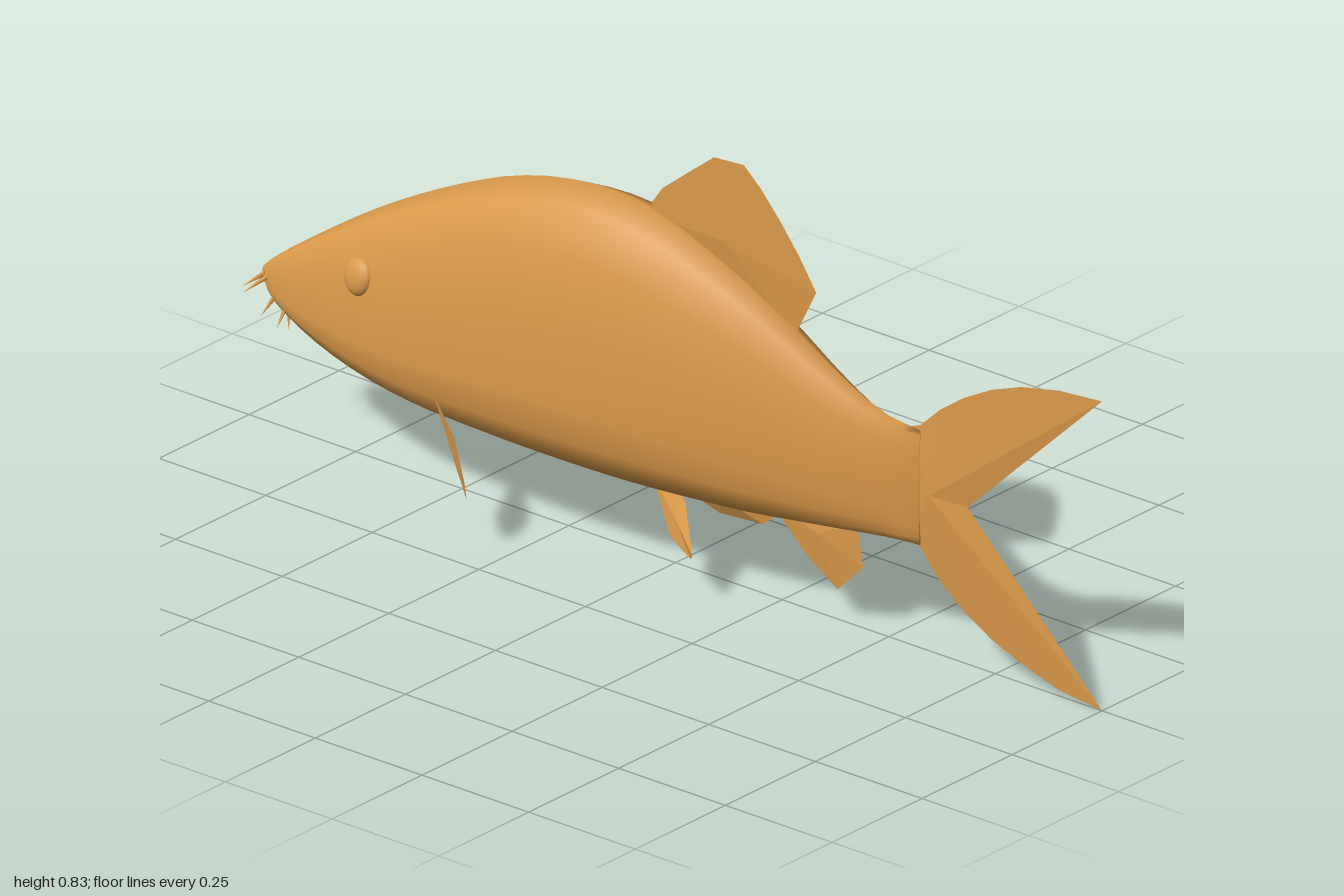
import * as THREE from 'three';

const skin = new THREE.MeshStandardMaterial({ color: 0xd9994a });
skin.name = 'golden skin';

function mesh(name, geometry) {
  const m = new THREE.Mesh(geometry, skin);
  m.name = name;
  return m;
}

// Body sections from tail to nose: z, belly y, back y, half width
const SECTIONS = [
  [0.575, 0.203, 0.43, 0.006], [0.5, 0.2, 0.437, 0.022], [0.4, 0.19, 0.475, 0.045],
  [0.3, 0.18, 0.53, 0.066], [0.2, 0.17, 0.587, 0.086], [0.1, 0.165, 0.633, 0.103],
  [0, 0.16, 0.67, 0.116], [-0.1, 0.157, 0.69, 0.124], [-0.2, 0.156, 0.69, 0.127],
  [-0.3, 0.156, 0.675, 0.127], [-0.4, 0.157, 0.645, 0.122], [-0.5, 0.16, 0.602, 0.116],
  [-0.6, 0.17, 0.552, 0.107], [-0.7, 0.185, 0.495, 0.09], [-0.8, 0.207, 0.43, 0.066],
  [-0.9, 0.238, 0.36, 0.034], [-0.945, 0.262, 0.325, 0.016], [-0.965, 0.29, 0.306, 0.004],
];
// Half of the cross-section: width and height as fractions
const HALF = [[0, 1], [0.43, 0.95], [0.75, 0.795], [0.945, 0.56], [1, 0.27],
  [0.945, 0.147], [0.79, 0.062], [0.47, 0.011], [0, 0]];

function bodyGeometry() {
  const ring = [...HALF, ...HALF.slice(1, -1).reverse().map(([x, y]) => [-x, y])];
  const n = ring.length;
  const lens = new THREE.CatmullRomCurve3(SECTIONS.map(([z, b, t]) => new THREE.Vector3(b, t, z)));
  const wide = new THREE.CatmullRomCurve3(SECTIONS.map(([z, , , w]) => new THREE.Vector3(w, 0, z)));
  const steps = (SECTIONS.length - 1) * 2;
  const pos = [], index = [];
  for (let i = 0; i <= steps; i++) {
    const s = lens.getPoint(i / steps), w = wide.getPoint(i / steps).x;
    for (const [x, y] of ring) pos.push(x * w, s.x + (s.y - s.x) * y, s.z);
  }
  for (let i = 0; i < steps; i++) {
    for (let j = 0; j < n; j++) {
      const a = i * n + j, b = i * n + (j + 1) % n;
      index.push(a, b, a + n, b, b + n, a + n);
    }
  }
  // Close the tail and nose ends
  for (let j = 1; j < n - 1; j++) {
    index.push(0, j + 1, j);
    const e = steps * n;
    index.push(e, e + j, e + j + 1);
  }
  const g = new THREE.BufferGeometry();
  g.setAttribute('position', new THREE.Float32BufferAttribute(pos, 3));
  g.setIndex(index);
  g.computeVertexNormals();
  return g;
}

// Thin lens-shaped fin: two fans from a thickened centre to a sharp outline
function finGeometry(outline, centre, thickness) {
  const p = outline.map((v) => new THREE.Vector3(...v));
  const c = new THREE.Vector3(...centre);
  const normal = new THREE.Vector3();
  p.forEach((v, i) => {
    const next = p[(i + 1) % p.length];
    normal.add(v.clone().sub(c).cross(next.clone().sub(c)));
  });
  normal.normalize().multiplyScalar(thickness / 2);
  const up = c.clone().add(normal), down = c.clone().sub(normal);
  const pts = [];
  p.forEach((v, i) => {
    const next = p[(i + 1) % p.length];
    pts.push(up, v, next, down, next, v);
  });
  const g = new THREE.BufferGeometry().setFromPoints(pts);
  g.computeVertexNormals();
  return g;
}

// Fin on the centre plane from (z, y) pairs
function middleFin(name, zy, centre) {
  return mesh(name, finGeometry(zy.map(([z, y]) => [0, y, z]), [0, centre[1], centre[0]], 0.014));
}

// Fin on one side, mirrored by the sign s
function sideFin(name, pts, s) {
  const outline = pts.map(([x, y, z]) => [x * s, y, z]);
  const centre = [0, 1, 2].map((k) => outline.reduce((sum, v) => sum + v[k], 0) / outline.length);
  return mesh(name, finGeometry(outline, centre, 0.01));
}

// Tapered whisker between two points
function barbel(name, from, to, s) {
  const a = new THREE.Vector3(from[0] * s, from[1], from[2]);
  const b = new THREE.Vector3(to[0] * s, to[1], to[2]);
  const dir = b.clone().sub(a);
  const m = mesh(name, new THREE.ConeGeometry(0.006, dir.length(), 6));
  m.position.copy(a).add(b).multiplyScalar(0.5);
  m.quaternion.setFromUnitVectors(new THREE.Vector3(0, 1, 0), dir.normalize());
  return m;
}

const PECTORAL = [[0.115, 0.235, -0.47], [0.187, 0.206, -0.36], [0.207, 0.137, -0.32],
  [0.187, 0.093, -0.332], [0.125, 0.09, -0.395], [0.08, 0.18, -0.475]];
const PELVIC = [[0.01, 0.165, -0.045], [0.068, 0.09, 0.045], [0.1, 0.078, 0.12],
  [0.113, 0.093, 0.135], [0.055, 0.16, 0.07], [0.03, 0.175, 0.02]];
const BARBELS = [
  [[0.006, 0.297, -0.955], [0.022, 0.262, -0.998]],
  [[0.008, 0.295, -0.945], [0.06, 0.272, -0.965]],
  [[0.012, 0.265, -0.925], [0.04, 0.225, -0.94]],
  [[0.012, 0.255, -0.9], [0.065, 0.228, -0.88]],
  [[0.008, 0.255, -0.9], [0.02, 0.208, -0.89]],
];

export function createModel() {
  const fish = new THREE.Group();
  fish.name = 'fish';
  fish.add(mesh('body', bodyGeometry()));

  fish.add(middleFin('tailFin', [[0.55, 0.43], [0.575, 0.44], [0.62, 0.483], [0.675, 0.522],
    [0.74, 0.557], [0.81, 0.583], [0.9, 0.602], [1, 0.61], [0.685, 0.31], [1, 0.002],
    [0.9, 0.013], [0.81, 0.04], [0.74, 0.067], [0.675, 0.103], [0.62, 0.146],
    [0.575, 0.197], [0.55, 0.21]], [0.6, 0.31]));
  fish.add(middleFin('dorsalFin', [[-0.06, 0.67], [-0.055, 0.695], [-0.03, 0.73], [0.09, 0.825],
    [0.16, 0.83], [0.2, 0.795], [0.245, 0.745], [0.29, 0.688], [0.33, 0.628],
    [0.28, 0.53], [0.1, 0.6]], [0.12, 0.67]));
  fish.add(middleFin('analFin', [[0.235, 0.185], [0.25, 0.16], [0.31, 0.105], [0.38, 0.06],
    [0.44, 0.12], [0.425, 0.205], [0.33, 0.21]], [0.34, 0.16]));

  for (const s of [1, -1]) {
    const side = s > 0 ? 'left' : 'right';
    fish.add(sideFin(side + 'PectoralFin', PECTORAL, s));
    fish.add(sideFin(side + 'PelvicFin', PELVIC, s));

    // Flattened eye bulge following the cheek
    const eye = mesh(side + 'Eye', new THREE.SphereGeometry(0.036, 20, 14));
    eye.scale.set(0.5, 1, 1);
    eye.position.set(0.08 * s, 0.396, -0.675);
    eye.rotation.set(0, 0.2 * s, 0.2 * s);
    fish.add(eye);

    BARBELS.forEach(([a, b], i) => fish.add(barbel(side + 'Barbel' + (i + 1), a, b, s)));
  }
  return fish;
}
